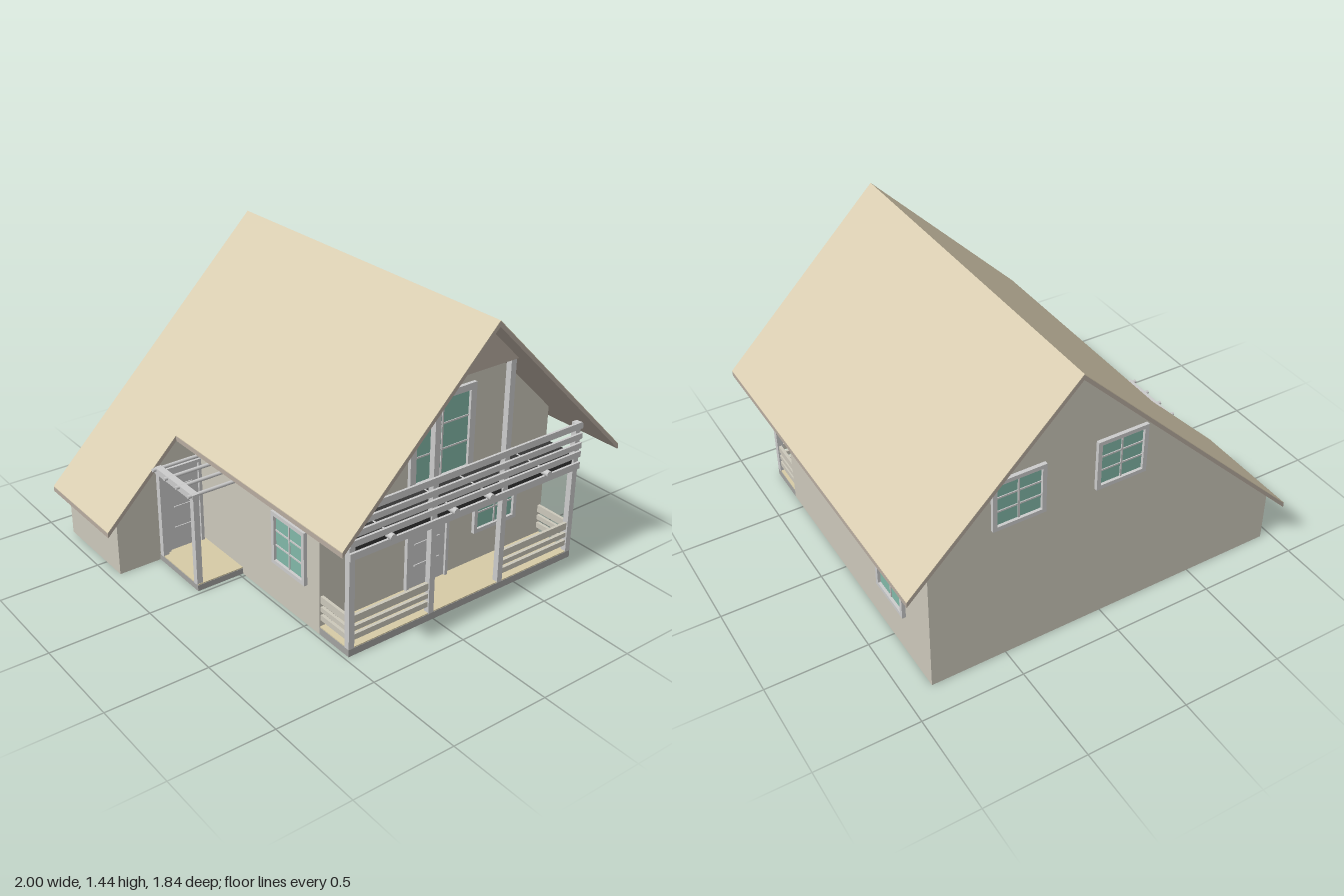
import * as THREE from 'three';

const mat = (c) => new THREE.MeshStandardMaterial({ color: c });
const M = {
  wall: mat(0xccc8bb), trim: mat(0xcccccc), roof: mat(0xd8ccb0), soffit: mat(0xb8aca0),
  glass: mat(0x82b8a8), deck: mat(0xd6cba6), base: mat(0xa3a3a0), dark: mat(0x353535),
};
const RIDGE_X = 0.19, RIDGE_Y = 1.437, THICK = 0.028;
const roofY = (x) => RIDGE_Y - Math.abs(x - RIDGE_X);
const underY = (x) => roofY(x) - THICK;

// box given by its min and max corners
function box(parent, name, m, [x0, x1], [y0, y1], [z0, z1]) {
  const mesh = new THREE.Mesh(new THREE.BoxGeometry(x1 - x0, y1 - y0, z1 - z0), m);
  mesh.position.set((x0 + x1) / 2, (y0 + y1) / 2, (z0 + z1) / 2);
  mesh.name = name;
  parent.add(mesh);
  return mesh;
}

// xy profile extruded from z0 to z1
function prism(parent, name, m, pts, z0, z1) {
  const shape = new THREE.Shape(pts.map(([x, y]) => new THREE.Vector2(x, y)));
  const mesh = new THREE.Mesh(new THREE.ExtrudeGeometry(shape, { depth: z1 - z0, bevelEnabled: false }), m);
  mesh.position.z = z0;
  mesh.name = name;
  parent.add(mesh);
}

// framed glass facing +z, origin at the bottom centre on the wall plane
function glazing(parent, name, w, h, cols, rows, border = 0.02) {
  const g = new THREE.Group();
  g.name = name;
  const a = w / 2, b = border, d = [-0.01, 0.018];
  box(g, 'glass', M.glass, [-a + b, a - b], [b, h - b], [-0.01, 0.004]);
  for (const s of [-1, 1]) {
    const c = s * (a - b / 2);
    box(g, 'frameSide', M.trim, [c - b / 2, c + b / 2], [0, h], d);
  }
  box(g, 'frameBottom', M.trim, [-a + b, a - b], [0, b], d);
  box(g, 'frameTop', M.trim, [-a + b, a - b], [h - b, h], d);
  for (let i = 1; i < cols; i++) {
    const x = -a + b + (i * (w - 2 * b)) / cols;
    box(g, 'verticalBar', M.trim, [x - 0.004, x + 0.004], [b, h - b], [0, 0.009]);
  }
  for (let i = 1; i < rows; i++) {
    const y = b + (i * (h - 2 * b)) / rows;
    box(g, 'crossBar', M.trim, [-a + b, a - b], [y - 0.004, y + 0.004], [0, 0.008]);
  }
  parent.add(g);
  return g;
}

// framed solid door facing +z
function door(parent, name, x0, x1, y0, y1, z) {
  const g = new THREE.Group();
  g.name = name;
  const b = 0.016;
  box(g, 'leaf', M.trim, [x0 + b, x1 - b], [y0, y1 - b], [z - 0.01, z + 0.008]);
  for (const x of [x0, x1 - b]) box(g, 'jamb', M.trim, [x, x + b], [y0, y1], [z - 0.01, z + 0.02]);
  box(g, 'lintel', M.trim, [x0 + b, x1 - b], [y1 - b, y1], [z - 0.01, z + 0.02]);
  for (let i = 1; i < 4; i++) {
    const y = y0 + (i * (y1 - y0)) / 4;
    box(g, 'doorRail', M.trim, [x0 + 0.05, x1 - 0.05], [y, y + 0.008], [z, z + 0.013]);
  }
  parent.add(g);
}

function roofs(model) {
  const slab = (name, m, x0, x1, up, down, z0, z1) => {
    const xs = x0 < RIDGE_X && x1 > RIDGE_X ? [x0, RIDGE_X, x1] : [x0, x1];
    const pts = xs.map((x) => [x, roofY(x) - down]);
    xs.reverse().forEach((x) => pts.push([x, roofY(x) - up]));
    prism(model, name, m, pts, z0, z1);
  };
  for (const [x0, x1, z0, z1] of [[-0.61, 1, -0.92, 0.92], [-1, -0.61, -0.92, -0.36]]) {
    slab('roofBoards', M.soffit, x0, x1, 0.004, THICK, z0, z1);
    slab('roofCovering', M.roof, x0, x1, 0, 0.004, z0, z1);
  }
}

function frontPorch(model) {
  const g = new THREE.Group();
  g.name = 'frontPorch';
  box(g, 'porchBase', M.base, [-0.48, 0.87], [0, 0.036], [0.59, 0.8]);
  box(g, 'porchDeck', M.deck, [-0.478, 0.868], [0.036, 0.041], [0.59, 0.798]);
  // posts up to the roof and to the gable panel
  for (const [x, top] of [[-0.48, underY(-0.48)], [-0.03, 1.166], [0.39, 1.166], [0.84, underY(0.87)]])
    box(g, 'porchPost', M.trim, [x, x + 0.03], [0.036, top], [0.77, 0.8]);
  // lower railing slats, front and both ends
  for (const [y0, y1] of [[0.072, 0.1], [0.118, 0.142], [0.16, 0.197]]) {
    box(g, 'railSlat', M.wall, [-0.45, -0.03], [y0, y1], [0.778, 0.793]);
    box(g, 'railSlat', M.wall, [0.42, 0.84], [y0, y1], [0.778, 0.793]);
    for (const x of [-0.474, 0.849]) box(g, 'endSlat', M.wall, [x, x + 0.015], [y0, y1], [0.59, 0.77]);
  }
  const a = RIDGE_X - 0.243, b = RIDGE_X + 0.243;
  prism(g, 'gablePanel', M.soffit, [[a, 1.166], [b, 1.166], [RIDGE_X, 1.409]], 0.775, 0.8);
  model.add(g);
}

function balcony(model) {
  const g = new THREE.Group();
  g.name = 'balcony';
  box(g, 'balconyFloor', M.dark, [-0.478, 0.868], [0.516, 0.555], [0.59, 0.79]);
  for (const [y0, y1] of [[0.49, 0.525], [0.553, 0.583], [0.598, 0.627], [0.648, 0.677], [0.702, 0.735]])
    box(g, 'balconyBoard', M.trim, [-0.485, 0.872], [y0, y1], [0.8, 0.812]);
  // round joist ends
  for (const x of [-0.27, 0.085, 0.295, 0.65]) {
    const log = new THREE.Mesh(new THREE.CylinderGeometry(0.016, 0.016, 0.24, 16), M.trim);
    log.rotation.x = Math.PI / 2;
    log.position.set(x, 0.54, 0.713);
    log.name = 'joist';
    g.add(log);
  }
  model.add(g);
}

function sidePorch(model) {
  const g = new THREE.Group();
  g.name = 'sidePorch';
  box(g, 'sidePorchBase', M.base, [-0.73, -0.48], [0, 0.03], [-0.365, -0.02]);
  box(g, 'sidePorchDeck', M.deck, [-0.728, -0.48], [0.03, 0.035], [-0.365, -0.022]);
  for (const z of [-0.36, -0.055]) box(g, 'sidePost', M.trim, [-0.73, -0.7], [0.03, 0.48], [z, z + 0.03]);
  box(g, 'sideBeam', M.trim, [-0.735, -0.7], [0.478, 0.51], [-0.36, -0.02]);
  for (const z of [-0.348, -0.243, -0.14, -0.035]) {
    const r = new THREE.Mesh(new THREE.CylinderGeometry(0.009, 0.009, 0.275, 12), M.trim);
    r.rotation.z = Math.PI / 2;
    r.position.set(-0.615, 0.502, z);
    r.name = 'pergolaRafter';
    g.add(r);
  }
  door(g, 'sideDoor', -0.695, -0.49, 0.035, 0.485, -0.365);
  model.add(g);
}

export function createModel() {
  const model = new THREE.Group();
  model.name = 'house';

  // main body and the low wing under the long roof slope
  prism(model, 'houseWalls', M.wall,
    [[-0.48, 0], [0.87, 0], [0.87, underY(0.87)], [RIDGE_X, underY(RIDGE_X)], [-0.48, underY(-0.48)]], -0.85, 0.59);
  prism(model, 'wingWalls', M.wall,
    [[-0.95, 0], [-0.48, 0], [-0.48, underY(-0.48)], [-0.95, underY(-0.95)]], -0.85, -0.365);

  roofs(model);
  frontPorch(model);
  balcony(model);
  sidePorch(model);

  // front openings
  door(model, 'frontDoor', 0, 0.25, 0.04, 0.49, 0.59);
  glazing(model, 'frontWindow', 0.27, 0.285, 2, 3).position.set(0.545, 0.2, 0.59);
  glazing(model, 'balconyDoor', 0.375, 0.445, 2, 3, 0.033).position.set(0.193, 0.555, 0.59);

  // side and back windows
  const right = glazing(model, 'rightWindow', 0.25, 0.255, 2, 3);
  right.position.set(0.87, 0.22, -0.505);
  right.rotation.y = Math.PI / 2;
  const left = glazing(model, 'leftWindow', 0.25, 0.27, 2, 3);
  left.position.set(-0.48, 0.21, 0.375);
  left.rotation.y = -Math.PI / 2;
  for (const s of [-1, 1]) {
    const back = glazing(model, 'backWindow', 0.255, 0.255, 2, 3);
    back.position.set(RIDGE_X + s * 0.253, 0.755, -0.85);
    back.rotation.y = Math.PI;
  }
  return model;
}
